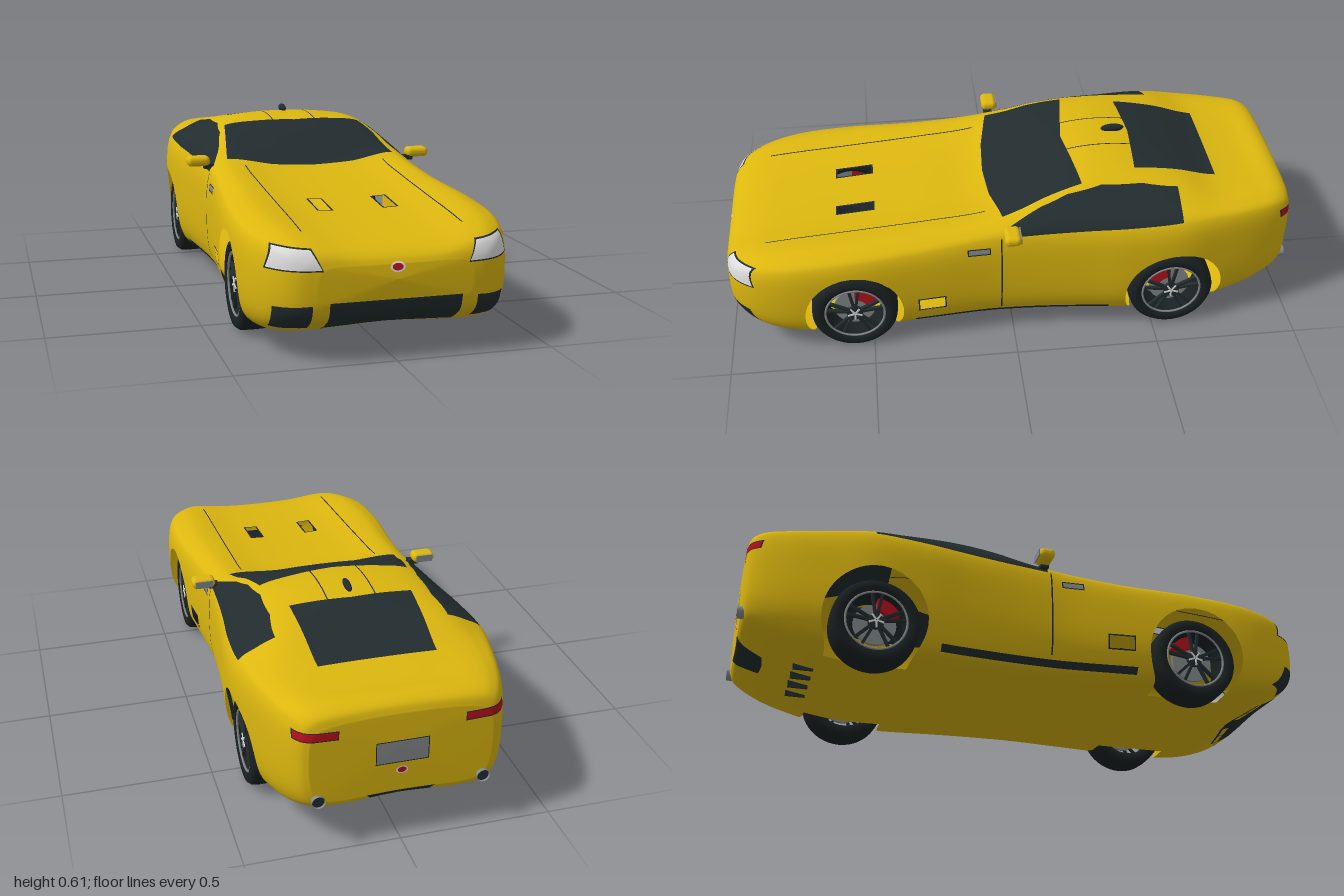
import * as THREE from 'three';
import { RoundedBoxGeometry } from 'three/addons/geometries/RoundedBoxGeometry.js';

const mat = (name, color, side = THREE.FrontSide) => {
  const m = new THREE.MeshStandardMaterial({ color, side });
  m.name = name;
  return m;
};

// Body stations from nose to tail: z, half width, floor y, belt y, roof-edge x, roof-edge y, centre y
const STATIONS = [
  [0.993, 0.24, 0.185, 0.275, 0.17, 0.295, 0.295],
  [0.98, 0.30, 0.15, 0.30, 0.22, 0.325, 0.315],
  [0.95, 0.345, 0.125, 0.325, 0.27, 0.352, 0.335],
  [0.88, 0.392, 0.09, 0.345, 0.30, 0.376, 0.355],
  [0.76, 0.424, 0.067, 0.365, 0.32, 0.395, 0.368],
  [0.56, 0.43, 0.063, 0.38, 0.33, 0.413, 0.385],
  [0.30, 0.408, 0.062, 0.395, 0.32, 0.432, 0.41],
  [0.09, 0.392, 0.062, 0.42, 0.31, 0.455, 0.434],
  [-0.03, 0.394, 0.062, 0.435, 0.30, 0.485, 0.495],
  [-0.13, 0.40, 0.062, 0.44, 0.285, 0.522, 0.545],
  [-0.26, 0.412, 0.062, 0.445, 0.268, 0.55, 0.577],
  [-0.40, 0.428, 0.062, 0.452, 0.268, 0.552, 0.58],
  [-0.58, 0.433, 0.062, 0.46, 0.28, 0.532, 0.545],
  [-0.72, 0.407, 0.08, 0.46, 0.29, 0.495, 0.503],
  [-0.86, 0.372, 0.11, 0.455, 0.28, 0.487, 0.49],
  [-0.94, 0.34, 0.14, 0.45, 0.26, 0.484, 0.494],
  [-0.975, 0.315, 0.16, 0.435, 0.24, 0.468, 0.478],
  [-0.988, 0.29, 0.18, 0.41, 0.20, 0.44, 0.45],
];

// Closed cross-section: floor, side, belt, glass, roof, then mirrored
function section([z, w, yb, ye, wg, yg, yc]) {
  const we = 0.96 * w, h = ye - yb;
  const half = [[0, yb], [0.85 * w, yb], [0.96 * w, yb + 0.15 * h], [w, yb + 0.58 * h], [we, ye],
    [(we + wg) / 2 + 0.006, (ye + yg) / 2 + 0.006], [wg, yg], [wg * 0.52, yg + (yc - yg) * 0.78], [0, yc]];
  const mirrored = half.slice(1, -1).reverse().map(([x, y]) => [-x, y]);
  return [...half, ...mirrored].map(([x, y]) => new THREE.Vector3(x, y, z));
}

// Lofted body as a list of triangles; each corner is [x, y, z, nx, ny, nz]
function bodyTriangles() {
  const rows = STATIONS.map(section), n = rows[0].length, across = n * 6, along = (rows.length - 1) * 6;
  const rails = rows[0].map((_, k) => new THREE.CatmullRomCurve3(rows.map(r => r[k])));
  const rings = [];
  for (let i = 0; i <= along; i++) {
    const loop = new THREE.CatmullRomCurve3(rails.map(r => r.getPoint(i / along)), true);
    rings.push(Array.from({ length: across }, (_, j) => loop.getPoint(j / across)));
  }
  const cap = (ring, z) => {
    const y = ring.reduce((s, p) => s + p.y, 0) / ring.length;
    return ring.map(() => new THREE.Vector3(0, y, z));
  };
  rings.unshift(cap(rings[0], 0.999));
  rings.push(cap(rings[rings.length - 1], -0.991));
  const index = [];
  for (let i = 0; i < rings.length - 1; i++) for (let j = 0; j < across; j++) {
    const a = i * across + j, b = i * across + (j + 1) % across, c = a + across, d = b + across;
    if (i < rings.length - 2) index.push(a, c, b);
    else { index.push(a, c, b); continue; }
    if (i > 0) index.push(b, c, d);
    else index.splice(index.length - 3, 3, b, c, d);
  }
  const g = new THREE.BufferGeometry().setFromPoints(rings.flat());
  g.setIndex(index);
  g.computeVertexNormals();
  const p = g.attributes.position, q = g.attributes.normal, tris = [];
  const corner = i => [p.getX(i), p.getY(i), p.getZ(i), q.getX(i), q.getY(i), q.getZ(i)];
  for (let k = 0; k < index.length; k += 3) tris.push([corner(index[k]), corner(index[k + 1]), corner(index[k + 2])]);
  return tris;
}

// Keep the part of a triangle where f is positive
function clip(tri, f) {
  const out = [];
  tri.forEach((a, i) => {
    const b = tri[(i + 1) % 3], fa = f(a), fb = f(b);
    if (fa >= 0) out.push(a);
    if ((fa > 0 && fb < 0) || (fa < 0 && fb > 0)) out.push(a.map((v, k) => v + (b[k] - v) * fa / (fa - fb)));
  });
  return out.slice(2).map((c, i) => [out[0], out[i + 1], c]);
}

// Split triangles into those inside all limits and the rest
function cut(tris, limits) {
  const rest = [];
  let inside = [];
  for (const t of tris) (limits.some(f => t.every(v => f(v) <= 0)) ? rest : inside).push(t);
  for (const f of limits) {
    const next = [];
    for (const t of inside) {
      next.push(...clip(t, f));
      rest.push(...clip(t, v => -f(v)));
    }
    inside = next;
  }
  return [inside, rest];
}

// Limits of a convex outline in one of three projections (both sides at once)
const FRONT = v => [Math.abs(v[0]), v[1]], SIDE = v => [v[2], v[1]], TOP = v => [Math.abs(v[0]), v[2]];
function outline(pts, proj) {
  const next = i => pts[(i + 1) % pts.length];
  const s = Math.sign(pts.reduce((sum, p, i) => sum + p[0] * next(i)[1] - p[1] * next(i)[0], 0));
  return pts.map((p, i) => v => {
    const q = next(i), [a, b] = proj(v);
    return s * ((q[0] - p[0]) * (b - p[1]) - (q[1] - p[1]) * (a - p[0]));
  });
}
const rect = (a0, a1, b0, b1) => [[a0, b0], [a1, b0], [a1, b1], [a0, b1]];
const oval = (y, rx, ry) => Array.from({ length: 16 }, (_, i) =>
  [rx * Math.cos(i * Math.PI / 8), y + ry * Math.sin(i * Math.PI / 8)]);
const shrink = (pts, m) => {
  const c = [0, 1].map(k => pts.reduce((s, p) => s + p[k], 0) / pts.length);
  return pts.map(p => p.map((v, k) => v - Math.sign(v - c[k]) * m));
};

export function createModel() {
  const car = new THREE.Group();
  car.name = 'sportsCar';
  const D = THREE.DoubleSide;
  const paint = mat('yellowPaint', 0xdcb70f, D), dark = mat('darkGlassAndTrim', 0x222c2e, D), rubber = mat('blackRubber', 0x1a2122, D);
  const red = mat('red', 0xb8101c, D), light = mat('lightLens', 0xdcdcdc, D), grey = mat('greyMetal', 0x85898b, D);
  const add = (parent, name, geo, m, x = 0, y = 0, z = 0) => {
    const mesh = new THREE.Mesh(geo, m);
    mesh.name = name;
    mesh.position.set(x, y, z);
    parent.add(mesh);
    return mesh;
  };
  const addTris = (name, tris, m) => {
    const g = new THREE.BufferGeometry(), v = tris.flat();
    g.setAttribute('position', new THREE.Float32BufferAttribute(v.flatMap(c => c.slice(0, 3)), 3));
    g.setAttribute('normal', new THREE.Float32BufferAttribute(v.flatMap(c => c.slice(3)), 3));
    add(car, name, g, m);
  };

  // Body panels: each region is cut out of the shell; no material leaves an opening
  let shell = bodyTriangles();
  const panel = (name, m, pts, proj, gate, innerPts, innerMat) => {
    let [inside, rest] = cut(shell, [gate, ...outline(pts, proj)]);
    shell = rest;
    if (innerPts) {
      const [inner, border] = cut(inside, outline(innerPts, proj));
      inside = border;
      if (innerMat) addTris(name + 'Inner', inner, innerMat);
    }
    addTris(name, inside, m);
  };
  const flank = v => Math.abs(v[0]) - 0.26, upper = v => v[1] - 0.3;
  const nose = v => v[2] - 0.84, tail = v => -0.84 - v[2];
  for (const [z, r] of [[0.56, 0.17], [-0.565, 0.174]])
    shell = cut(shell, [flank, v => r - Math.hypot(v[2] - z, v[1] - 0.16)])[1];

  panel('windshield', dark, [[-0.1, 0.08], [0, 0.075], [0.15, 0.066], [0.312, 0.035], [0.264, -0.245], [0, -0.207], [-0.1, -0.193]], TOP, upper);
  panel('rearWindow', dark, [[-0.1, -0.733], [0.195, -0.733], [0.21, -0.437], [-0.1, -0.458]], TOP, upper);
  panel('sideWindows', dark, [[0.035, 0.424], [0.03, 0.446], [-0.1, 0.501], [-0.19, 0.53], [-0.31, 0.549], [-0.45, 0.546], [-0.575, 0.53], [-0.575, 0.465]], SIDE, flank);
  const framed = (name, m, pts, proj, gate, margin) => panel(name, dark, pts, proj, gate, shrink(pts, margin), m);
  framed('headlights', light, [[0.384, 0.287], [0.364, 0.358], [0.255, 0.35], [0.226, 0.286]], FRONT, nose, 0.004);
  framed('taillights', red, [[0.2, 0.393], [0.2, 0.424], [0.335, 0.428], [0.335, 0.397]], FRONT, tail, 0.003);
  framed('numberPlate', grey, rect(-0.085, 0.085, 0.28, 0.36), FRONT, tail, 0.003);
  framed('hoodVents', null, rect(0.083, 0.137, 0.47, 0.607), TOP, upper, 0.006);
  framed('sideVents', null, rect(0.24, 0.338, 0.147, 0.203), SIDE, flank, 0.005);
  framed('sideMarkers', grey, rect(0.082, 0.162, 0.364, 0.39), SIDE, flank, 0.004);
  panel('frontBadge', light, oval(0.288, 0.024, 0.016), FRONT, nose, oval(0.288, 0.017, 0.011), red);
  panel('rearBadge', light, oval(0.252, 0.02, 0.014), FRONT, tail, oval(0.252, 0.014, 0.01), red);
  for (const [a, b] of [[0.046, 0.12], [0.126, 0.202]])
    panel('grilleStrip', paint, rect(a, b, 0.084, 0.091), FRONT, v => v[2] - 0.8);
  panel('grille', dark, rect(-0.207, 0.207, 0.081, 0.19), FRONT, v => v[2] - 0.8);
  panel('fogLights', dark, [[0.258, 0.1], [0.365, 0.1], [0.365, 0.176], [0.258, 0.184]], FRONT, nose);
  panel('rearVent', dark, [[-0.1, 0.175], [0.11, 0.175], [0.07, 0.12], [-0.1, 0.12]], FRONT, tail);
  panel('sideSkirts', dark, rect(-0.34, 0.35, 0.074, 0.096), SIDE, flank);
  panel('doorSeams', dark, rect(0.042, 0.047, 0.11, 0.42), SIDE, flank);
  panel('hoodSeams', dark, rect(0.255, 0.259, 0.09, 0.85), TOP, upper);
  panel('roofSeams', dark, rect(0.08, 0.084, -0.452, -0.215), TOP, upper);
  addTris('bodyShell', shell, paint);

  // Wheels
  const tread = [[-0.045, 0.148], [-0.022, 0.15], [-0.02, 0.144], [-0.016, 0.144], [-0.014, 0.15]];
  const half = [[-0.052, 0.106], [-0.06, 0.118], [-0.058, 0.138], ...tread];
  const profile = [...half, ...half.slice().reverse().map(([h, r]) => [-h, r]), half[0]].map(([h, r]) => new THREE.Vector2(r, h));
  const tireGeo = new THREE.LatheGeometry(profile, 48).rotateZ(-Math.PI / 2);
  const ringGeo = new THREE.TorusGeometry(0.103, 0.004, 6, 40).rotateY(Math.PI / 2);
  const hubGeo = new THREE.CylinderGeometry(0.024, 0.028, 0.016, 20).rotateZ(Math.PI / 2);
  const discGeo = new THREE.CylinderGeometry(0.072, 0.072, 0.01, 32).rotateZ(Math.PI / 2);
  const spokeGeo = new THREE.BoxGeometry(0.012, 0.084, 0.009).translate(0, 0.062, 0);
  const boltGeo = new THREE.BoxGeometry(0.006, 0.024, 0.006).translate(0, 0.014, 0);
  for (const z of [0.56, -0.56]) for (const s of [1, -1]) {
    const wheel = new THREE.Group();
    wheel.name = (z > 0 ? 'front' : 'rear') + (s > 0 ? 'Left' : 'Right') + 'Wheel';
    wheel.position.set(s * 0.347, 0.15, z);
    car.add(wheel);
    add(wheel, 'tire', tireGeo, rubber);
    add(wheel, 'rimEdge', ringGeo, grey, s * 0.052);
    add(wheel, 'hub', hubGeo, dark, s * 0.045);
    add(wheel, 'brakeDisc', discGeo, grey, s * 0.012);
    for (let i = 0; i < 5; i++) {
      const a = i * Math.PI * 0.4;
      for (const o of [-0.17, 0.17]) add(wheel, 'spoke', spokeGeo, dark, s * 0.044).rotation.x = a + o;
      add(wheel, 'hubStar', boltGeo, light, s * 0.053).rotation.x = a + 0.6;
    }
    const mid = z > 0 ? Math.PI * 0.31 : Math.PI * 0.69;
    const shape = new THREE.Shape();
    shape.absarc(0, 0, 0.088, mid - 0.55, mid + 0.55, false);
    shape.absarc(0, 0, 0.046, mid + 0.55, mid - 0.55, true);
    const caliper = new THREE.ExtrudeGeometry(shape, { depth: 0.04, bevelEnabled: false, curveSegments: 8 }).translate(0, 0, -0.02).rotateY(Math.PI / 2);
    add(wheel, 'brakeCaliper', caliper, red, s * 0.016);
  }

  // Mirrors, exhausts and underside fins
  for (const s of [1, -1]) {
    add(car, 'mirrorHousing', new RoundedBoxGeometry(0.082, 0.036, 0.056, 4, 0.016), paint, s * 0.414, 0.461, 0.012);
    add(car, 'mirrorGlass', new THREE.BoxGeometry(0.062, 0.025, 0.004), grey, s * 0.414, 0.461, -0.016);
    add(car, 'mirrorArm', new THREE.BoxGeometry(0.035, 0.016, 0.03), dark, s * 0.377, 0.442, 0.018);
    add(car, 'exhaustPipe', new THREE.CylinderGeometry(0.021, 0.021, 0.06, 20, 1, true).rotateX(Math.PI / 2), grey, s * 0.265, 0.185, -0.97);
    add(car, 'exhaustInside', new THREE.CylinderGeometry(0.02, 0.02, 0.01, 20).rotateX(Math.PI / 2), dark, s * 0.265, 0.185, -0.988);
    for (const x of [0.04, 0.12]) add(car, 'underFin', new THREE.BoxGeometry(0.006, 0.03, 0.07), dark, s * x, 0.082, -0.76);
  }

  // Roof antenna
  add(car, 'antenna', new THREE.SphereGeometry(1, 16, 12).scale(0.011, 0.016, 0.042), dark, 0, 0.59, -0.395);
  return car;
}
